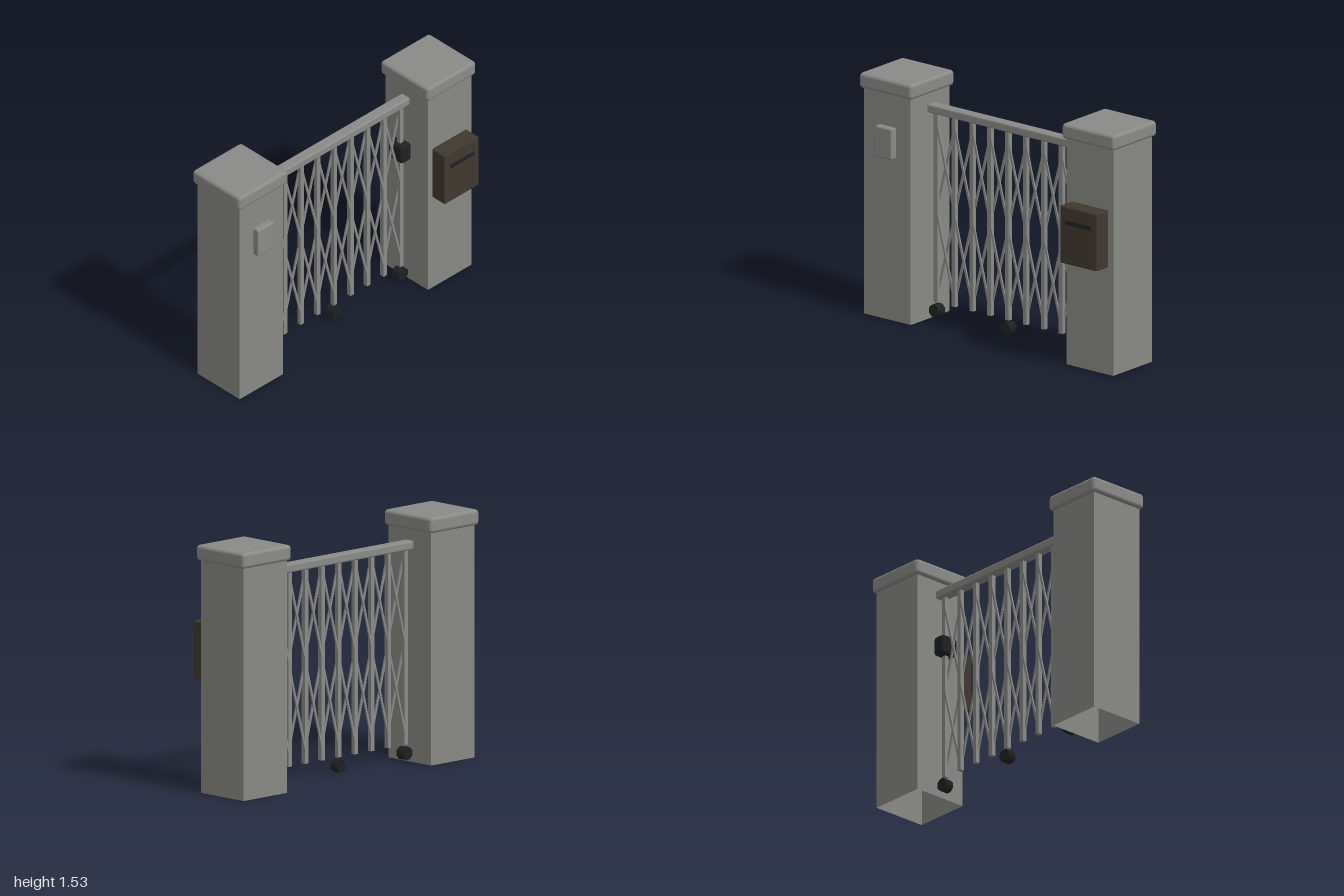
import * as THREE from 'three';
import { RoundedBoxGeometry } from 'three/addons/geometries/RoundedBoxGeometry.js';

const Z = -0.046; // centre plane of the gate

function makeMaterial(name, color, side = THREE.FrontSide) {
  const m = new THREE.MeshStandardMaterial({ color, side });
  m.name = name;
  return m;
}

export function createModel() {
  const model = new THREE.Group();
  model.name = 'foldingGate';

  const stone = makeMaterial('stone grey', 0x888884, THREE.DoubleSide);
  const metal = makeMaterial('metal grey', 0x8a8a88);
  const brown = makeMaterial('dark brown', 0x40382f);
  const black = makeMaterial('black', 0x1f2021);

  function add(name, geometry, material, x, y, z, parent = model) {
    const mesh = new THREE.Mesh(geometry, material);
    mesh.name = name;
    mesh.position.set(x, y, z);
    parent.add(mesh);
    return mesh;
  }
  const rounded = (w, h, d, r) => new RoundedBoxGeometry(w, h, d, 2, r);

  // Hollow square pillars, open underneath, with rounded caps
  const pillarGeo = new THREE.CylinderGeometry(0.367 / Math.SQRT2, 0.367 / Math.SQRT2, 1.44, 4, 1, true)
    .rotateY(Math.PI / 4).toNonIndexed();
  pillarGeo.computeVertexNormals();
  const capGeo = rounded(0.412, 0.097, 0.412, 0.022);
  for (const [side, s] of [['left', 1], ['right', -1]]) {
    add(side + 'Pillar', pillarGeo, stone, s * 0.794, 0.72, Z);
    add(side + 'PillarCap', capGeo, metal, s * 0.794, 1.4785, Z);
  }

  // Top rail
  add('topRail', rounded(1.22, 0.055, 0.073, 0.012), metal, 0, 1.337, Z - 0.004);

  // Upright bars
  const gate = new THREE.Group();
  gate.name = 'foldingLattice';
  gate.position.z = Z - 0.004;
  model.add(gate);
  const step = 0.14;
  const barGeo = new THREE.BoxGeometry(0.029, 1.21, 0.029);
  for (let i = -4; i <= 4; i++) add('uprightBar', barGeo, metal, i * step, 0.717, 0, gate);

  // Crossed slats, two rows between each pair of bars
  const rise = 0.54;
  const slatGeo = new THREE.BoxGeometry(0.014, Math.hypot(step, rise), 0.01);
  for (let i = -4; i < 4; i++) {
    for (const y of [0.44, 1.0]) {
      for (const s of [-1, 1]) {
        const slat = add('crossSlat', slatGeo, metal, (i + 0.5) * step, y, s * 0.009, gate);
        slat.rotation.z = s * Math.atan2(step, rise);
      }
    }
  }

  // Eight-sided wheels
  const wheelGeo = new THREE.CylinderGeometry(0.041, 0.041, 0.06, 8)
    .rotateY(Math.PI / 8).rotateX(Math.PI / 2);
  for (const x of [-0.56, 0, 0.56]) add('wheel', wheelGeo, black, x, 0.06, Z - 0.004);

  // Latch on the last bar
  add('latch', rounded(0.085, 0.122, 0.12, 0.018), black, 0.557, 0.98, Z - 0.004);

  // Wall panel on the right pillar
  add('wallPanel', rounded(0.135, 0.198, 0.06, 0.012), metal, -0.794, 1.126, 0.149);

  // Letter box with its slot on the left pillar
  add('letterBox', rounded(0.29, 0.363, 0.116, 0.009), brown, 0.792, 0.859, 0.188);
  add('letterSlot', new THREE.BoxGeometry(0.198, 0.025, 0.009), black, 0.794, 0.943, 0.2485);

  return model;
}
